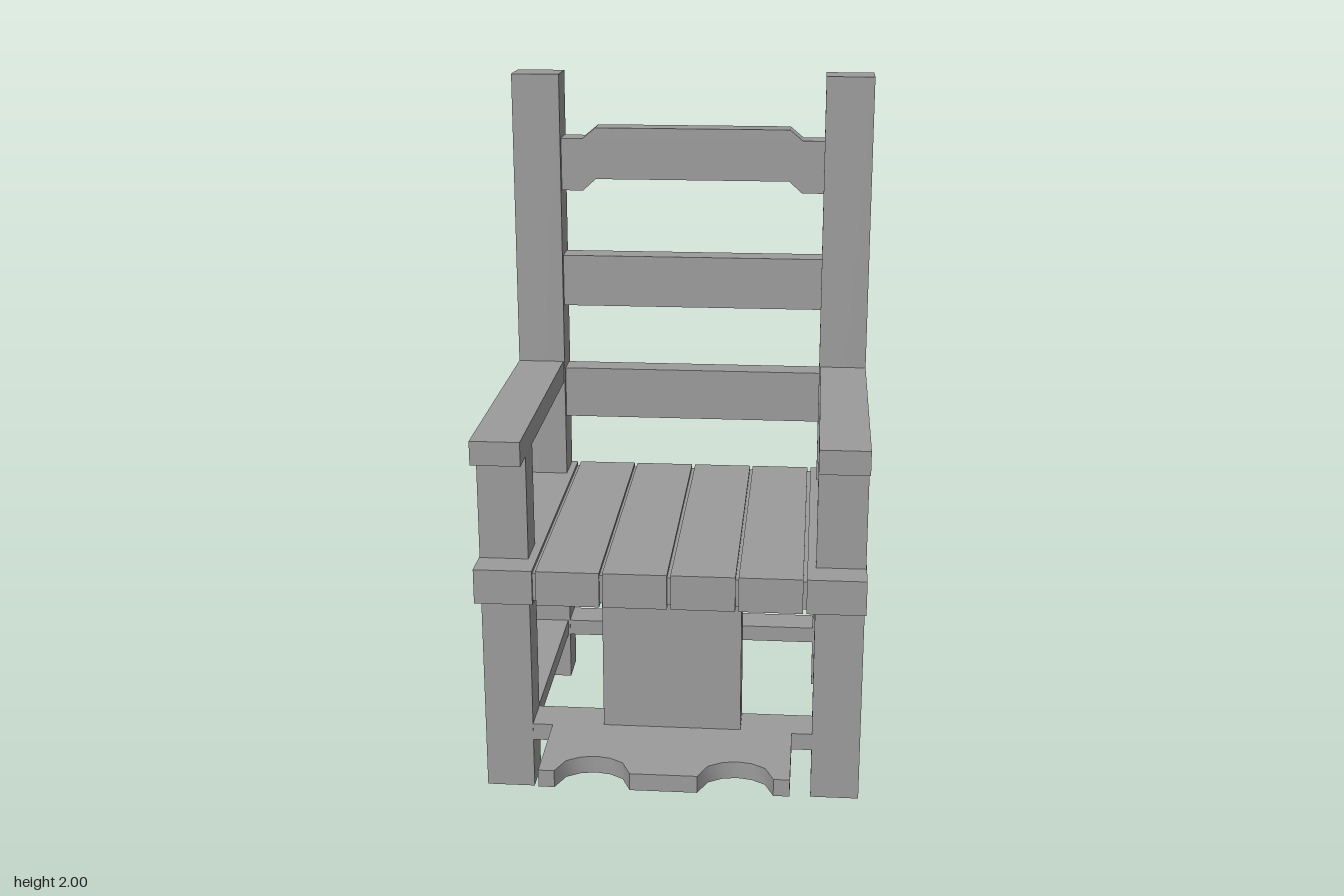
import * as THREE from 'three';
import { toCreasedNormals } from 'three/addons/utils/BufferGeometryUtils.js';

const material = new THREE.MeshStandardMaterial({ color: 0x9b9b9b });

export function createModel() {
  const model = new THREE.Group();
  model.name = 'armchair';

  // Box given by its extents on each axis
  function box(name, [x0, x1], [y0, y1], [z0, z1]) {
    const mesh = new THREE.Mesh(new THREE.BoxGeometry(x1 - x0, y1 - y0, z1 - z0), material);
    mesh.position.set((x0 + x1) / 2, (y0 + y1) / 2, (z0 + z1) / 2);
    mesh.name = name;
    model.add(mesh);
  }

  // Outline from half its points: the given side (+x) is mirrored to -x
  function mirroredShape(half) {
    const pts = half.map(([x, y]) => new THREE.Vector2(x, y));
    const other = half.map(([x, y]) => new THREE.Vector2(-x, y)).reverse();
    return new THREE.Shape([...pts, ...other]);
  }

  // Extruded board: gentle bends are smooth, corners stay sharp
  function extrude(name, shape, depth) {
    const geometry = new THREE.ExtrudeGeometry(shape, { depth, bevelEnabled: false });
    const mesh = new THREE.Mesh(toCreasedNormals(geometry, Math.PI / 4), material);
    mesh.name = name;
    model.add(mesh);
    return mesh;
  }

  // Posts, legs, armrests and lower side rails, one set per side
  for (const [side, s] of [['left', 1], ['right', -1]]) {
    const span = (a, b) => (s > 0 ? [a, b] : [-b, -a]);
    box(side + 'BackPost', span(0.404, 0.549), [0, 2], [-0.57, -0.448]);
    box(side + 'FrontLeg', span(0.408, 0.548), [0, 1.03], [0.18, 0.298]);
    box(side + 'Armrest', span(0.408, 0.549), [1.03, 1.1], [-0.45, 0.383]);
    box(side + 'LowerRail', span(0.41, 0.54), [0.152, 0.203], [-0.45, 0.18]);
  }
  box('backLowerRail', [-0.41, 0.41], [0.152, 0.203], [-0.555, -0.45]);

  // Seat planks over a slightly smaller core that closes the gaps
  const edges = [[-0.55, -0.384], [-0.374, -0.195], [-0.186, -0.005]];
  for (const [a, b] of edges) {
    box('seatPlank', [a, b], [0.622, 0.724], [-0.569, 0.39]);
    box('seatPlank', [-b, -a], [0.622, 0.724], [-0.569, 0.39]);
  }
  box('seatCore', [-0.54, 0.54], [0.632, 0.714], [-0.56, 0.38]);

  // Back slats: two straight, the top one with a raised middle
  for (const y of [0.913, 1.279]) {
    box('backSlat', [-0.41, 0.41], [y, y + 0.16], [-0.55, -0.47]);
  }
  const crest = mirroredShape([
    [0.298, 1.68], [0.338, 1.644], [0.41, 1.644],
    [0.41, 1.804], [0.338, 1.804], [0.298, 1.837],
  ]);
  extrude('topSlat', crest, 0.08).position.z = -0.55;

  // Panel between seat and footboard
  box('frontPanel', [-0.2, 0.2], [0.2, 0.63], [0.19, 0.285]);

  // Footboard with two rounded ankle cutouts, drawn with -z as shape y
  const foot = mirroredShape([
    [0.094, -0.57], [0.12, -0.51], [0.158, -0.486], [0.2, -0.478], [0.242, -0.486],
    [0.28, -0.51], [0.305, -0.57], [0.35, -0.57], [0.35, -0.297], [0.41, -0.297],
    [0.41, -0.18],
  ]);
  const footboard = extrude('footboard', foot, 0.051);
  footboard.rotation.x = -Math.PI / 2;
  footboard.position.y = 0.152;

  return model;
}
